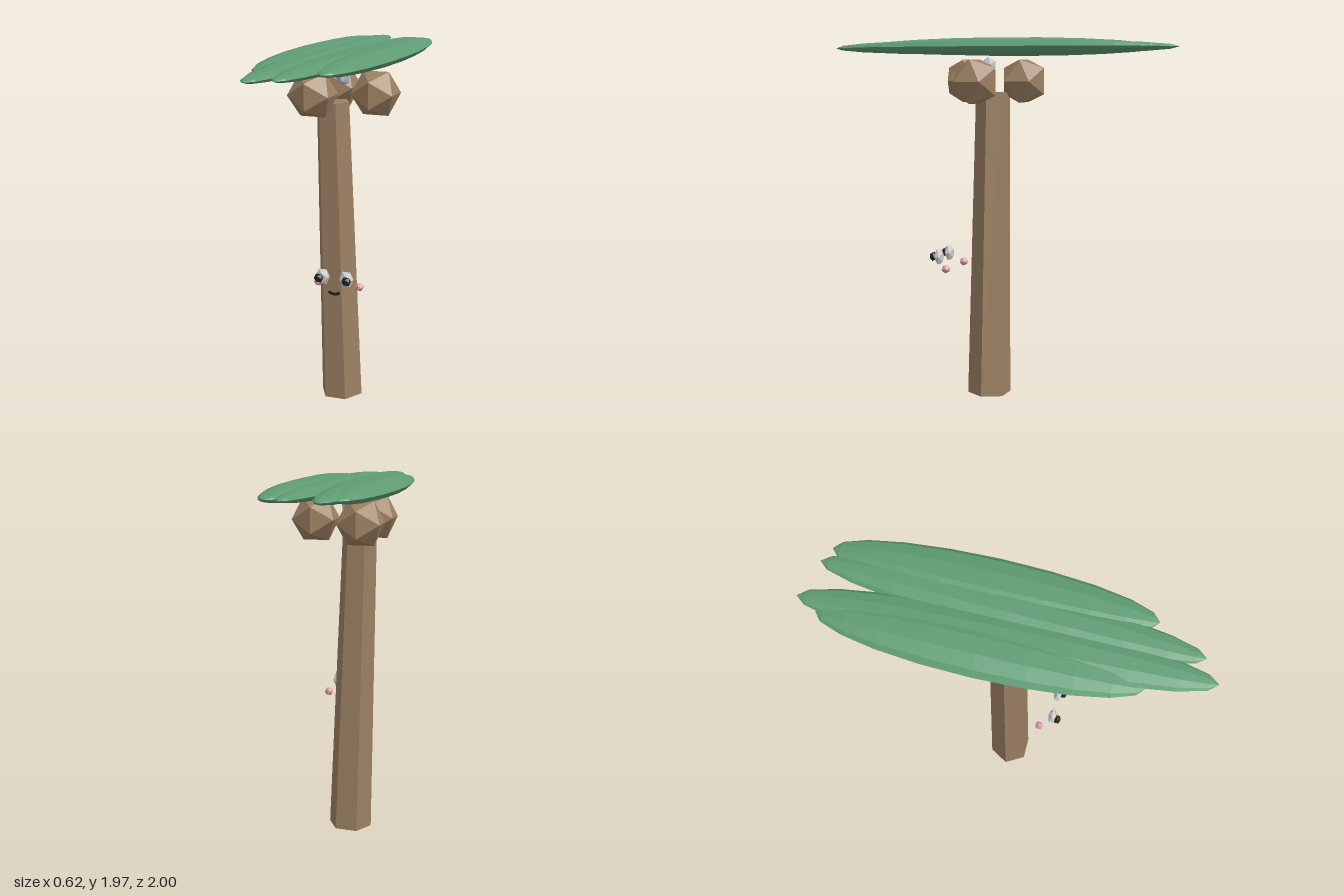
import * as THREE from 'three';

const mat = (color, extra = {}) =>
  new THREE.MeshStandardMaterial({ color, flatShading: true, ...extra });

export function createModel() {
  const model = new THREE.Group();
  const bark = mat(0x9c8062), green = mat(0x5f9c74), white = mat(0xe6e6e6);
  const black = mat(0x222222), pink = mat(0xd99aa5), silver = mat(0xb9c2c8);

  function add(parent, name, geometry, material, position, scale = [1, 1, 1]) {
    const mesh = new THREE.Mesh(geometry, material);
    mesh.name = name;
    mesh.position.set(...position);
    mesh.scale.set(...scale);
    parent.add(mesh);
    return mesh;
  }
  function group(name) {
    const g = new THREE.Group();
    g.name = name;
    model.add(g);
    return g;
  }

  // Leaning six-sided trunk with its edges on the x axis
  const trunkGeo = new THREE.CylinderGeometry(0.093, 0.12, 1.68, 6, 1, false, Math.PI / 6);
  const trunk = add(model, 'trunk', trunkGeo, bark, [-0.03, 0.847, 0.008]);
  trunk.rotation.z = 0.031;

  // Crown of four long flat leaves lying along z: x, z, half width, half height, half length, yaw
  const crown = group('crown');
  const leafGeo = new THREE.SphereGeometry(1, 10, 10).rotateX(Math.PI / 2);
  const leaves = [
    [0.168, -0.115, 0.14, 0.048, 0.795, 0.0],
    [-0.168, -0.105, 0.143, 0.048, 0.785, 0.0],
    [-0.09, 0, 0.13, 0.042, 1.0, 0.02],
    [0.066, -0.012, 0.12, 0.042, 0.935, -0.025],
  ];
  for (const [x, z, w, h, l, yaw] of leaves) {
    add(crown, 'leaf', leafGeo, green, [x, 1.926, z], [w, h, l]).rotation.y = yaw;
  }

  // Three nuts around the top of the trunk
  const nuts = group('nuts');
  const ball = new THREE.IcosahedronGeometry(1, 0);
  for (let i = 0; i < 3; i++) {
    const a = (i * Math.PI * 2) / 3;
    add(nuts, 'nut', ball, bark,
      [-0.004 + 0.191 * Math.cos(a), 1.745, 0.01 + 0.191 * Math.sin(a)], [0.135, 0.135, 0.135]);
  }

  // Small pebble under the crown
  const pebble = add(model, 'pebble', ball, silver, [0.003, 1.825, 0.008], [0.042, 0.052, 0.045]);
  pebble.rotation.z = 0.3;

  // Face floating in front of the trunk, mirrored about x = 0.05
  const face = group('face');
  for (const s of [-1, 1]) {
    add(face, 'eye', ball, white, [0.0525 + s * 0.068, 0.786, 0.256], [0.042, 0.05, 0.026]);
    add(face, 'pupil', ball, black, [0.0525 + s * 0.079, 0.786, 0.286], [0.027, 0.027, 0.022]);
    add(face, 'cheek', ball, pink, [0.0505 + s * 0.119, 0.729, 0.192], [0.025, 0.025, 0.025]);
  }
  const smileGeo = new THREE.RingGeometry(0.042, 0.058, 6, 1, Math.PI * 1.28, Math.PI * 0.44);
  add(face, 'mouth', smileGeo, mat(0x222222, { side: THREE.DoubleSide }), [0.05, 0.744, 0.255]);

  return model;
}
